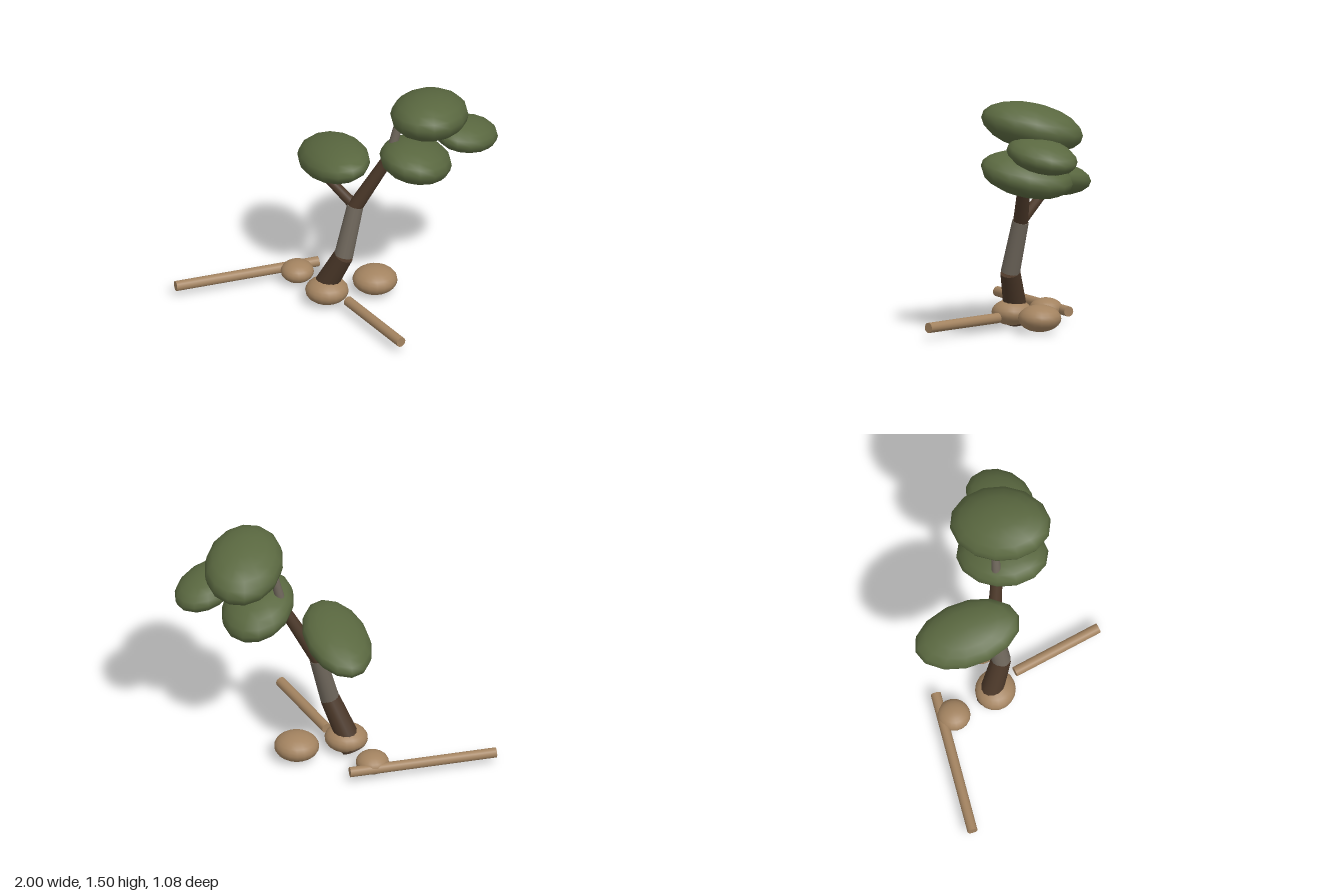
import * as THREE from 'three';

const mat = (name, color) => {
  const m = new THREE.MeshStandardMaterial({ color });
  m.name = name;
  return m;
};

export function createModel() {
  const leaf = mat('leaf green', 0x5a6840);
  const bark = mat('dark bark', 0x4a3728);
  const grey = mat('weathered grey wood', 0x6e665b);
  const sand = mat('sandy tan', 0xa38360);
  const tree = new THREE.Group();
  tree.name = 'windsweptTree';

  const add = (name, geometry, material) => {
    const mesh = new THREE.Mesh(geometry, material);
    mesh.name = name;
    tree.add(mesh);
    return mesh;
  };

  // Tapered cylinder running from point a to point b
  const limb = (name, a, b, ra, rb, material, sides = 14) => {
    const from = new THREE.Vector3(...a), to = new THREE.Vector3(...b);
    const dir = to.clone().sub(from);
    const mesh = add(name, new THREE.CylinderGeometry(rb, ra, dir.length(), sides), material);
    mesh.position.copy(from).add(to).multiplyScalar(0.5);
    mesh.quaternion.setFromUnitVectors(new THREE.Vector3(0, 1, 0), dir.normalize());
  };

  // Leaning ellipsoid: half extents h, and how strongly each pair of axes leans together
  const pad = (name, c, [hx, hy, hz], [xy, yz, xz]) => {
    const zz = Math.sqrt(1 - xz * xz);
    const yzz = (yz - xy * xz) / zz;
    const yy = Math.sqrt(1 - xy * xy - yzz * yzz);
    const lean = new THREE.Matrix4().set(
      hx, 0, 0, 0,
      hy * xy, hy * yy, hy * yzz, 0,
      hz * xz, 0, hz * zz, 0,
      0, 0, 0, 1);
    const mesh = add(name, new THREE.SphereGeometry(1, 14, 10).applyMatrix4(lean), leaf);
    mesh.position.set(...c);
  };

  // Trunk and branches
  limb('trunkBase', [-0.1, 0.035, -0.085], [0.055, 0.355, -0.03], 0.076, 0.062, bark);
  limb('trunkMiddle', [0.055, 0.355, -0.03], [0.123, 0.682, -0.087], 0.06, 0.052, grey);
  limb('trunkUpper', [0.12, 0.675, -0.087], [0.335, 1.04, -0.1], 0.047, 0.036, bark);
  limb('trunkTip', [0.335, 1.03, -0.1], [0.4, 1.32, -0.12], 0.032, 0.025, grey);
  limb('sideBranch', [0.12, 0.68, -0.09], [-0.17, 0.87, -0.3], 0.035, 0.026, bark);

  // Foliage pads
  pad('topFoliage', [0.58, 1.345, -0.115], [0.242, 0.158, 0.317], [0, 0.36, -0.03]);
  pad('middleFoliage', [0.497, 1.03, -0.09], [0.224, 0.144, 0.288], [-0.22, 0.34, 0]);
  pad('outerFoliage', [0.807, 1.195, -0.155], [0.192, 0.112, 0.217], [-0.33, 0.3, -0.2]);
  pad('sideFoliage', [-0.021, 0.936, -0.23], [0.234, 0.129, 0.317], [0.36, 0.34, 0.36]);

  // Boulders around the foot
  [
    [[-0.05, 0.09, -0.05], [0.135, 0.081, 0.126]],
    [[-0.25, 0.08, -0.28], [0.103, 0.066, 0.104]],
    [[0.237, 0.093, -0.195], [0.14, 0.084, 0.134]],
  ].forEach(([c, s], i) => {
    const mesh = add('boulder' + (i + 1), new THREE.SphereGeometry(1, 18, 12), sand);
    mesh.position.set(...c);
    mesh.scale.set(...s);
  });

  // Fallen logs
  limb('longLog', [-0.987, 0.075, -0.05], [-0.13, 0.075, -0.41], 0.032, 0.032, sand, 16);
  limb('shortLog', [0.088, 0.075, 0.05], [0.45, 0.075, 0.516], 0.032, 0.032, sand, 16);

  return tree;
}
